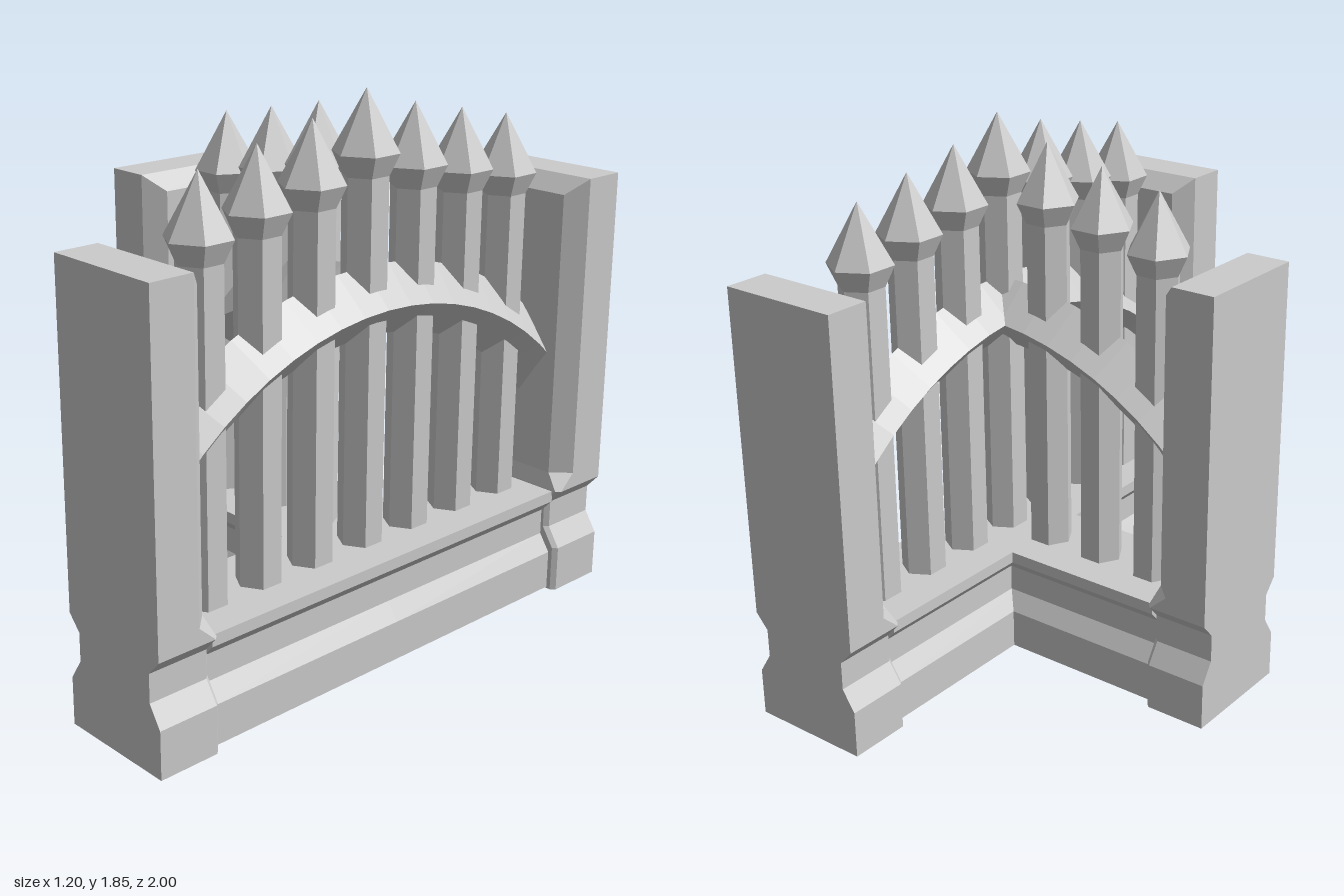
import * as THREE from 'three';

const material = new THREE.MeshStandardMaterial({ color: 0xcccccc, flatShading: true, side: THREE.DoubleSide });

function add(parent, name, geometry) {
  const mesh = new THREE.Mesh(geometry, material);
  mesh.name = name;
  parent.add(mesh);
  return mesh;
}

// End post: stacked horizontal sections of [y, half width, depth, inner corner chamfer]
function postGeometry() {
  const sections = [
    [0, 0.21, 0.225, 0.015],
    [0.16, 0.21, 0.225, 0.015],
    [0.23, 0.165, 0.225, 0.015],
    [0.325, 0.165, 0.225, 0.015],
    [0.375, 0.21, 0.225, 0.015],
    [0.43, 0.21, 0.21, 0.06],
    [1.42, 0.21, 0.21, 0.06],
    [1.475, 0.21, 0.15, 0],
  ];
  const positions = [];
  const index = [];
  for (const [y, w, d, c] of sections) {
    const ring = [[w, 1], [w, 1 - d + c], [w - c, 1 - d], [c - w, 1 - d], [-w, 1 - d + c], [-w, 1]];
    for (const [x, z] of ring) positions.push(x, y, z);
  }
  for (let s = 0; s < sections.length - 1; s++) {
    for (let i = 0; i < 6; i++) {
      const a = s * 6 + i, b = s * 6 + (i + 1) % 6;
      index.push(a, b, b + 6, a, b + 6, a + 6);
    }
  }
  const top = (sections.length - 1) * 6;
  for (let i = 1; i < 5; i++) {
    index.push(0, i + 1, i, top, top + i, top + i + 1);
  }
  const geometry = new THREE.BufferGeometry();
  geometry.setAttribute('position', new THREE.Float32BufferAttribute(positions, 3));
  geometry.setIndex(index);
  const flat = geometry.toNonIndexed();
  flat.computeVertexNormals();
  return flat;
}

// Low wall with a waisted profile
function wallGeometry() {
  const half = [[0.18, 0.005], [0.18, 0.14], [0.14, 0.2], [0.14, 0.29], [0.18, 0.333], [0.18, 0.372]];
  const outline = [...half, ...half.map(([x, y]) => [-x, y]).reverse()];
  const shape = new THREE.Shape(outline.map(([x, y]) => new THREE.Vector2(x, y)));
  return new THREE.ExtrudeGeometry(shape, { depth: 0.778, bevelEnabled: false });
}

// Half of the arched rail, with a diamond cross-section
function railGeometry() {
  const arc = THREE.MathUtils.degToRad(50);
  return new THREE.TorusGeometry(1.163, 0.115, 4, 10, arc)
    .rotateZ(Math.PI / 2 - arc)
    .rotateY(-Math.PI / 2)
    .translate(0, 0.012, 0);
}

// Six-sided picket with a pointed head
function addPicket(parent, z, tip) {
  const profile = [[0.075, 0.36], [0.075, tip - 0.265], [0.108, tip - 0.195], [0, tip]];
  const geometry = new THREE.LatheGeometry(profile.map(([r, y]) => new THREE.Vector2(r, y)), 6);
  add(parent, 'picket', geometry).position.z = z;
}

// One fence arm running from the junction along +z
function createArm(name) {
  const arm = new THREE.Group();
  arm.name = name;
  add(arm, 'endPost', postGeometry());
  add(arm, 'baseWall', wallGeometry());
  add(arm, 'archedRail', railGeometry());
  for (const [z, tip] of [[0.22, 1.78], [0.438, 1.735], [0.657, 1.692]]) addPicket(arm, z, tip);
  return arm;
}

export function createModel() {
  const model = new THREE.Group();
  model.name = 'fenceJunction';

  const front = createArm('frontArm');
  front.position.x = 0.39;

  const back = createArm('backArm');
  back.position.x = 0.39;
  back.rotation.y = Math.PI;

  const side = createArm('sideArm');
  side.position.set(0.4, 0, -0.008);
  side.rotation.y = -Math.PI / 2;

  // Tallest picket at the junction
  const centre = new THREE.Group();
  centre.name = 'centrePicket';
  centre.position.x = 0.39;
  addPicket(centre, -0.004, 1.845);

  model.add(front, back, side, centre);
  return model;
}
